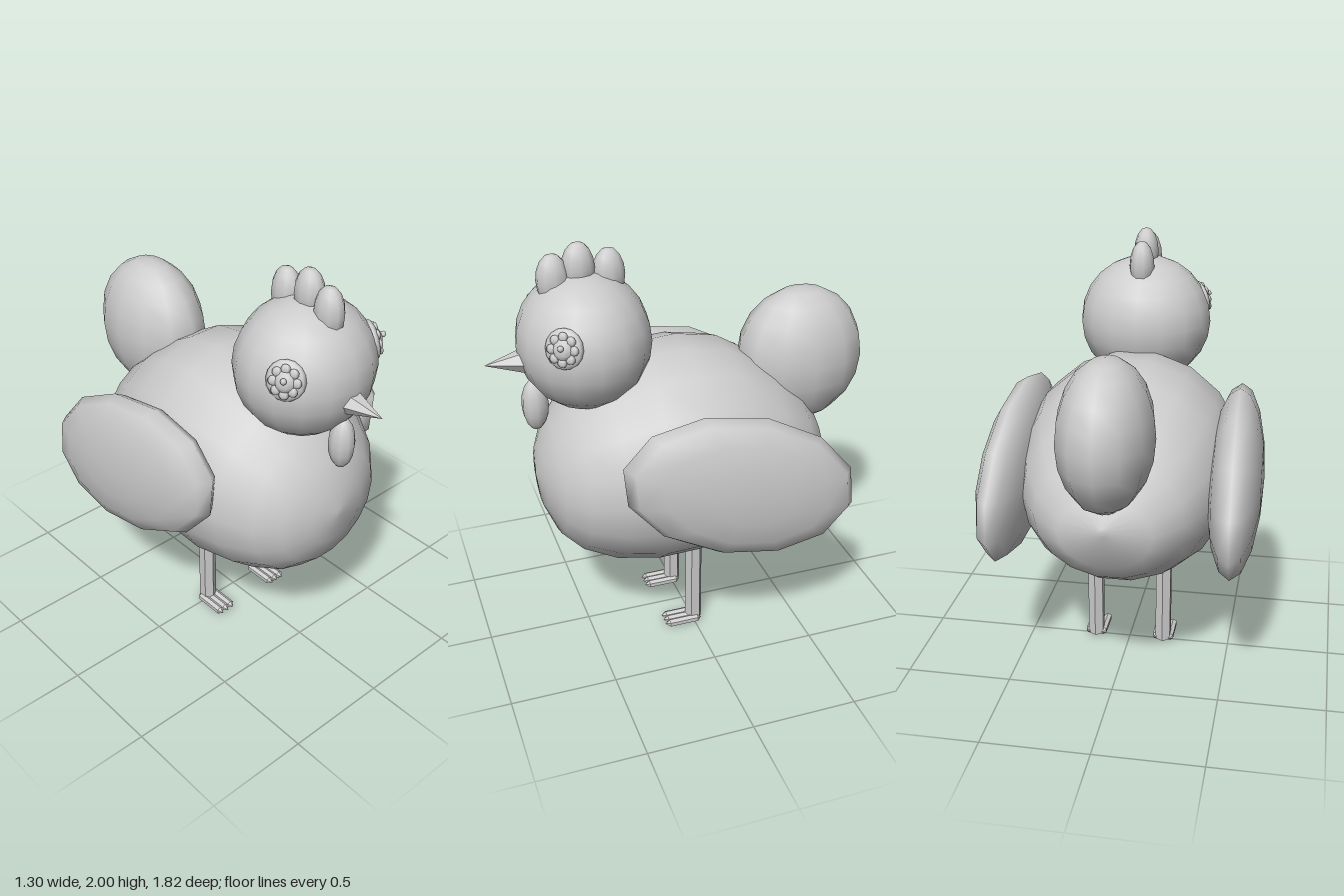
import * as THREE from 'three';

const plumage = new THREE.MeshStandardMaterial({ color: 0xcccccc });
plumage.name = 'plain grey';

function part(parent, name, geometry, position = [0, 0, 0], rotation = [0, 0, 0]) {
  const mesh = new THREE.Mesh(geometry, plumage);
  mesh.name = name;
  mesh.position.set(...position);
  mesh.rotation.set(...rotation);
  parent.add(mesh);
  return mesh;
}

function ellipsoid(rx, ry, rz, w = 12, h = 8) {
  return new THREE.SphereGeometry(1, w, h).scale(rx, ry, rz);
}

// Egg-shaped body: elliptical rings along z, each [z, top, bottom, half width]
function bodyGeometry() {
  const rings = [
    [-0.695, 0.93, 0.89, 0.02], [-0.65, 1.04, 0.72, 0.21], [-0.55, 1.19, 0.62, 0.34],
    [-0.4, 1.32, 0.53, 0.43], [-0.2, 1.44, 0.45, 0.495], [0, 1.475, 0.41, 0.525],
    [0.2, 1.46, 0.405, 0.525], [0.4, 1.38, 0.44, 0.47], [0.55, 1.26, 0.51, 0.385],
    [0.64, 1.15, 0.6, 0.29], [0.695, 1.03, 0.73, 0.16], [0.715, 0.91, 0.87, 0.02],
  ];
  const sides = 18, pos = [], index = [];
  for (const [z, top, bottom, w] of rings) {
    for (let i = 0; i < sides; i++) {
      const a = (i / sides) * Math.PI * 2;
      pos.push(Math.cos(a) * w, (top + bottom) / 2 + Math.sin(a) * (top - bottom) / 2, z);
    }
  }
  for (let r = 0; r < rings.length - 1; r++) {
    for (let i = 0; i < sides; i++) {
      const a = r * sides + i, b = r * sides + (i + 1) % sides;
      index.push(a, b, b + sides, a, b + sides, a + sides);
    }
  }
  const last = (rings.length - 1) * sides;
  for (let i = 1; i < sides - 1; i++) {
    index.push(0, i + 1, i, last, last + i, last + i + 1);
  }
  const g = new THREE.BufferGeometry();
  g.setAttribute('position', new THREE.Float32BufferAttribute(pos, 3));
  g.setIndex(index);
  g.computeVertexNormals();
  return g;
}

// Flattened eye patch with a ring of small lumps and a tiny pupil
function makeEye(side) {
  const eye = new THREE.Group();
  eye.name = side > 0 ? 'leftEye' : 'rightEye';
  part(eye, 'eyePatch', ellipsoid(0.086, 0.09, 0.03, 12, 8));
  part(eye, 'iris', ellipsoid(0.045, 0.048, 0.025, 10, 6), [0, 0, 0.02]);
  for (let i = 0; i < 8; i++) {
    const a = (i / 8) * Math.PI * 2;
    part(eye, 'eyeLump', ellipsoid(0.022, 0.022, 0.012, 6, 5),
      [Math.cos(a) * 0.05, Math.sin(a) * 0.055, 0.022]);
  }
  part(eye, 'pupil', ellipsoid(0.014, 0.014, 0.014, 8, 6), [0, 0.01, 0.05]);
  eye.position.set(side * 0.255, 1.63, 0.605);
  eye.lookAt(side * 1.07, 1.85, 1.12);
  return eye;
}

// Straight leg with three pointed toes
function makeLeg(side) {
  const leg = new THREE.Group();
  leg.name = side > 0 ? 'leftLeg' : 'rightLeg';
  const shank = new THREE.CylinderGeometry(0.042, 0.042, 0.5, 6).toNonIndexed();
  shank.computeVertexNormals();
  part(leg, 'shank', shank, [0, 0.26, -0.003]);
  for (let i = -1; i <= 1; i++) {
    const profile = [[0, 0], [0.02, 0.02], [0.02, 0.165], [0, 0.188]]
      .map(([r, y]) => new THREE.Vector2(r, y));
    const toe = new THREE.LatheGeometry(profile, 6).rotateX(Math.PI / 2).toNonIndexed();
    toe.computeVertexNormals();
    part(leg, 'toe', toe, [i * 0.034, 0.02, -0.033]);
  }
  leg.position.x = side * 0.172;
  return leg;
}

export function createModel() {
  const bird = new THREE.Group();
  bird.name = 'hen';

  part(bird, 'body', bodyGeometry());
  part(bird, 'head', ellipsoid(0.323, 0.315, 0.305, 16, 12), [0, 1.55, 0.46]);
  part(bird, 'tail', ellipsoid(0.345, 0.325, 0.215, 12, 10).rotateY(Math.PI / 2).scale(1, 1.05, 0.92),
    [0, 1.32, -0.595]);

  // Comb lobes along the crown
  [[0.585, 1.84, 0.12], [0.47, 1.885, 0.115], [0.335, 1.84, 0.12]].forEach(([z, y, ry]) =>
    part(bird, 'combLobe', ellipsoid(0.06, ry, 0.074, 10, 8), [0, y, z]));

  // Beak and wattle
  const beak = new THREE.ConeGeometry(0.075, 0.21, 6).toNonIndexed();
  beak.rotateX(Math.PI / 2).rotateZ(Math.PI / 6).scale(1, 0.88, 1);
  beak.computeVertexNormals();
  part(bird, 'beak', beak, [0, 1.483, 0.805]);
  part(bird, 'wattle', ellipsoid(0.058, 0.126, 0.062, 10, 8), [0, 1.26, 0.697]);

  for (const side of [1, -1]) {
    // Wing: a flat oval, front end raised, poles facing outward
    const wing = ellipsoid(0.345, 0.13, 0.575, 12, 8).rotateZ(Math.PI / 2);
    part(bird, side > 0 ? 'leftWing' : 'rightWing', wing,
      [side * 0.52, 0.965, -0.11], [-0.325, -side * 0.03, 0]);
    bird.add(makeEye(side), makeLeg(side));
  }
  return bird;
}
